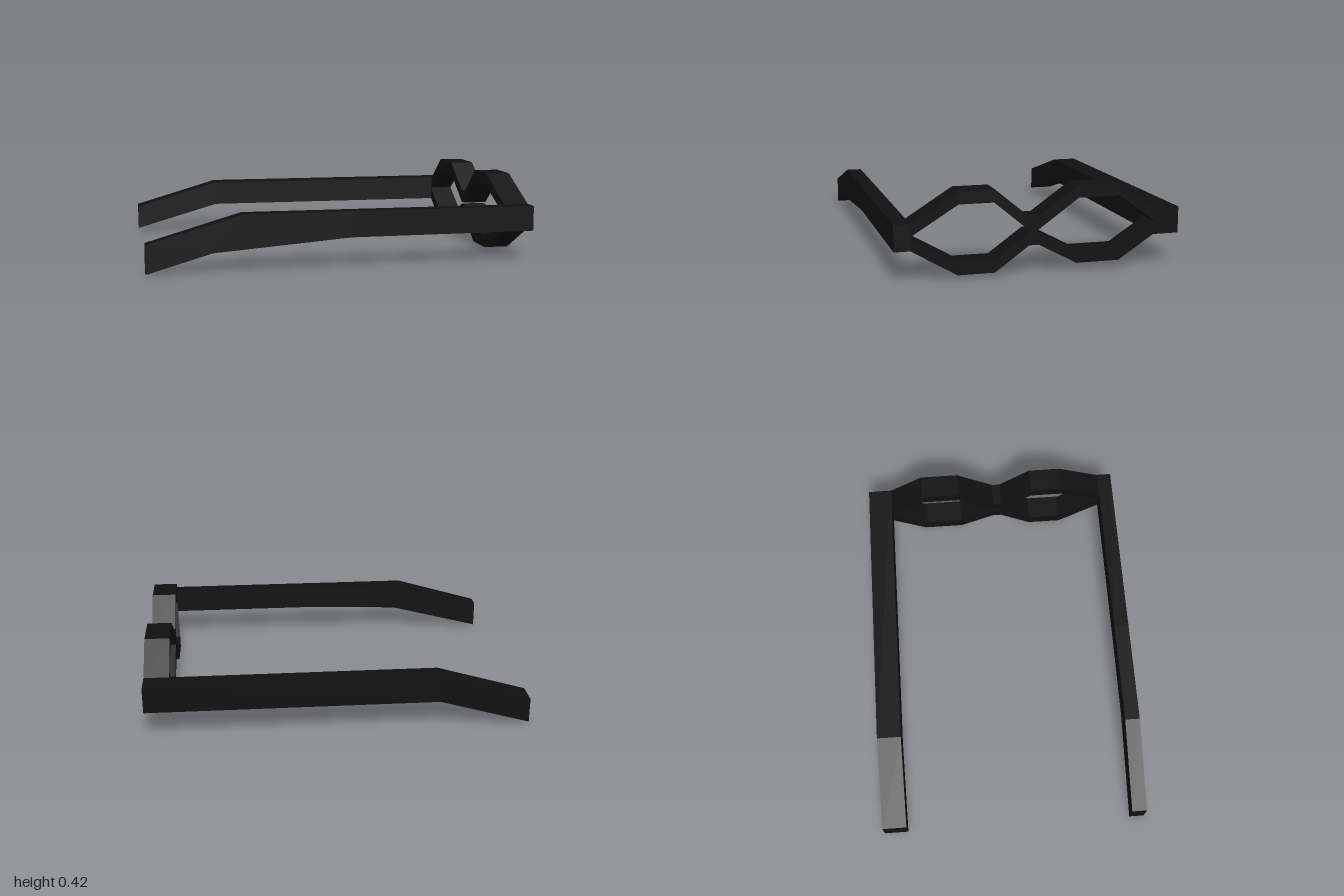
import * as THREE from 'three';

const material = new THREE.MeshStandardMaterial({ color: 0x101010, flatShading: true });

// Closed bar through four-cornered cross-sections, corners counterclockwise seen from the far end.
function loftBar(name, sections) {
  const pos = [];
  const quad = (a, b, c, d) => pos.push(...a, ...b, ...c, ...a, ...c, ...d);
  for (let i = 0; i < sections.length - 1; i++) {
    const s = sections[i], t = sections[i + 1];
    for (let j = 0; j < 4; j++) {
      const k = (j + 1) % 4;
      quad(s[j], s[k], t[k], t[j]);
    }
  }
  quad(...[...sections[0]].reverse());
  quad(...sections[sections.length - 1]);
  const geo = new THREE.BufferGeometry();
  geo.setAttribute('position', new THREE.Float32BufferAttribute(pos, 3));
  geo.computeVertexNormals();
  const mesh = new THREE.Mesh(geo, material);
  mesh.name = name;
  return mesh;
}

// Arm running along x; each edge is a list of [x, y] points
function arm(name, zFront, zBack, bottomFront, bottomBack, topBack, topFront) {
  return loftBar(name, bottomFront.map((p, i) => [
    [...p, zFront], [...bottomBack[i], zBack], [...topBack[i], zBack], [...topFront[i], zFront],
  ]));
}

// Bridge strand running from front to back; rows are [z, bottom y, top y, x shift]
function strand(name, rows) {
  return loftBar(name, rows.map(([z, lo, hi, shift = 0]) => {
    const a = 0.85 + shift, b = 0.98 + shift;
    return [[b, lo, z], [a, lo, z], [a, hi, z], [b, hi, z]];
  }));
}

export function createModel() {
  const group = new THREE.Group();
  group.name = 'spectacleFrame';

  // Thin front arm, its lower outer edge slightly bellied
  const topEdge = [[-1, 0.145], [-0.52, 0.285], [0.03, 0.285], [1, 0.285]];
  group.add(arm('frontArm', 0.72, 0.64,
    [[-1, 0.0], [-0.68, 0.095], [0.03, 0.152], [1, 0.155]],
    [[-1, 0.0], [-0.46, 0.14], [0.03, 0.155], [1, 0.155]],
    topEdge, topEdge));

  // Thick back arm
  const low = [[-1, 0.02], [-0.53, 0.155], [0.98, 0.155]];
  const high = [[-1, 0.15], [-0.53, 0.288], [0.98, 0.288]];
  group.add(arm('backArm', -0.59, -0.72, low, low, high, high));

  // Upper and lower rims, meeting closely at the nose bridge
  group.add(strand('upperRim', [
    [0.645, 0.22, 0.28, 0.02], [0.405, 0.36, 0.423], [0.228, 0.36, 0.423], [0.055, 0.215, 0.28],
    [0.01, 0.215, 0.28], [-0.193, 0.36, 0.423], [-0.403, 0.36, 0.423], [-0.595, 0.222, 0.283],
  ]));
  group.add(strand('lowerRim', [
    [0.645, 0.157, 0.22, 0.02], [0.41, 0.017, 0.081], [0.227, 0.017, 0.081], [0.056, 0.14, 0.203],
    [0.008, 0.14, 0.203], [-0.186, 0.036, 0.1], [-0.405, 0.036, 0.1], [-0.595, 0.16, 0.223],
  ]));
  return group;
}
